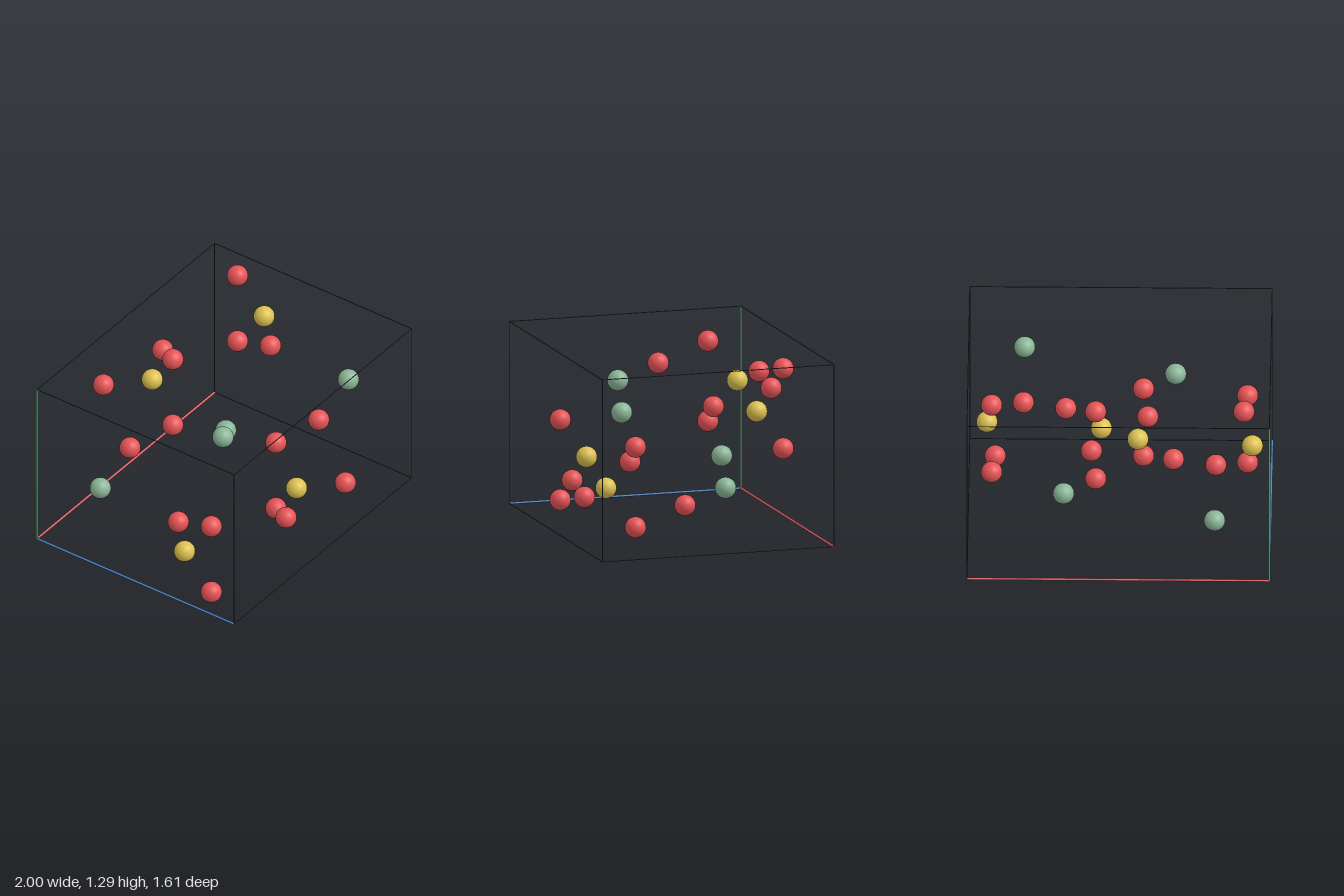
import * as THREE from 'three';

// Cell bounds and centre; the axis rods are thicker, so the cell sits slightly off centre
const LO = [-0.992, 0.034, -0.798], HI = [0.997, 1.256, 0.803];
const CENTRE = LO.map((v, i) => (v + HI[i]) / 2);

function material(name, color) {
  const m = new THREE.MeshStandardMaterial({ color });
  m.name = name;
  return m;
}

export function createModel() {
  const model = new THREE.Group();
  model.name = 'crystalUnitCell';

  const red = material('atom red', 0xe55356);
  const yellow = material('atom yellow', 0xdcc050);
  const green = material('atom green', 0x8ab596);
  const slate = material('frame slate', 0x2f3d42);
  const axisRed = material('axis red', 0xe0606a);
  const axisGreen = material('axis green', 0x62a878);
  const axisBlue = material('axis blue', 0x5088cc);

  // Atoms: each offset from the centre is paired with its inversion
  const ball = new THREE.SphereGeometry(0.07, 32, 20);
  const atoms = [
    ['redAtom', red, [
      [-0.362, 0.305, -0.72], [0.178, 0.305, -0.63], [-0.82, 0.305, -0.172], [0.632, 0.305, -0.084],
      [0.836, 0.575, -0.5], [0.836, 0.037, -0.5], [-0.161, 0.575, -0.302], [-0.161, 0.037, -0.302],
    ]],
    ['greenAtom', green, [[-0.631, -0.305, -0.55], [0.366, -0.305, -0.254]]],
    ['yellowAtom', yellow, [[-0.126, 0.305, -0.495], [0.869, 0.305, -0.307]]],
  ];
  for (const [name, mat, offsets] of atoms) {
    for (const offset of offsets) {
      for (const s of [1, -1]) {
        const atom = new THREE.Mesh(ball, mat);
        atom.name = name;
        atom.position.set(...offset.map((v, i) => CENTRE[i] + s * v));
        model.add(atom);
      }
    }
  }

  // Straight rod between two points
  function rod(name, mat, radius, a, b) {
    const from = new THREE.Vector3(...a), to = new THREE.Vector3(...b);
    const dir = to.clone().sub(from);
    const mesh = new THREE.Mesh(new THREE.CylinderGeometry(radius, radius, dir.length(), 12), mat);
    mesh.name = name;
    mesh.position.copy(from).add(to).multiplyScalar(0.5);
    mesh.quaternion.setFromUnitVectors(new THREE.Vector3(0, 1, 0), dir.normalize());
    model.add(mesh);
  }

  // Cell frame: twelve edges, the three at the origin corner thicker and coloured
  const axes = [['xAxis', axisRed], ['yAxis', axisGreen], ['zAxis', axisBlue]];
  for (let k = 0; k < 3; k++) {
    const i = (k + 1) % 3, j = (k + 2) % 3;
    for (const u of [LO, HI]) {
      for (const v of [LO, HI]) {
        const a = [...LO], b = [...HI];
        a[i] = b[i] = u[i];
        a[j] = b[j] = v[j];
        if (u === LO && v === LO) rod(axes[k][0], axes[k][1], 0.008, a, b);
        else rod('cellEdge', slate, 0.003, a, b);
      }
    }
  }

  return model;
}
